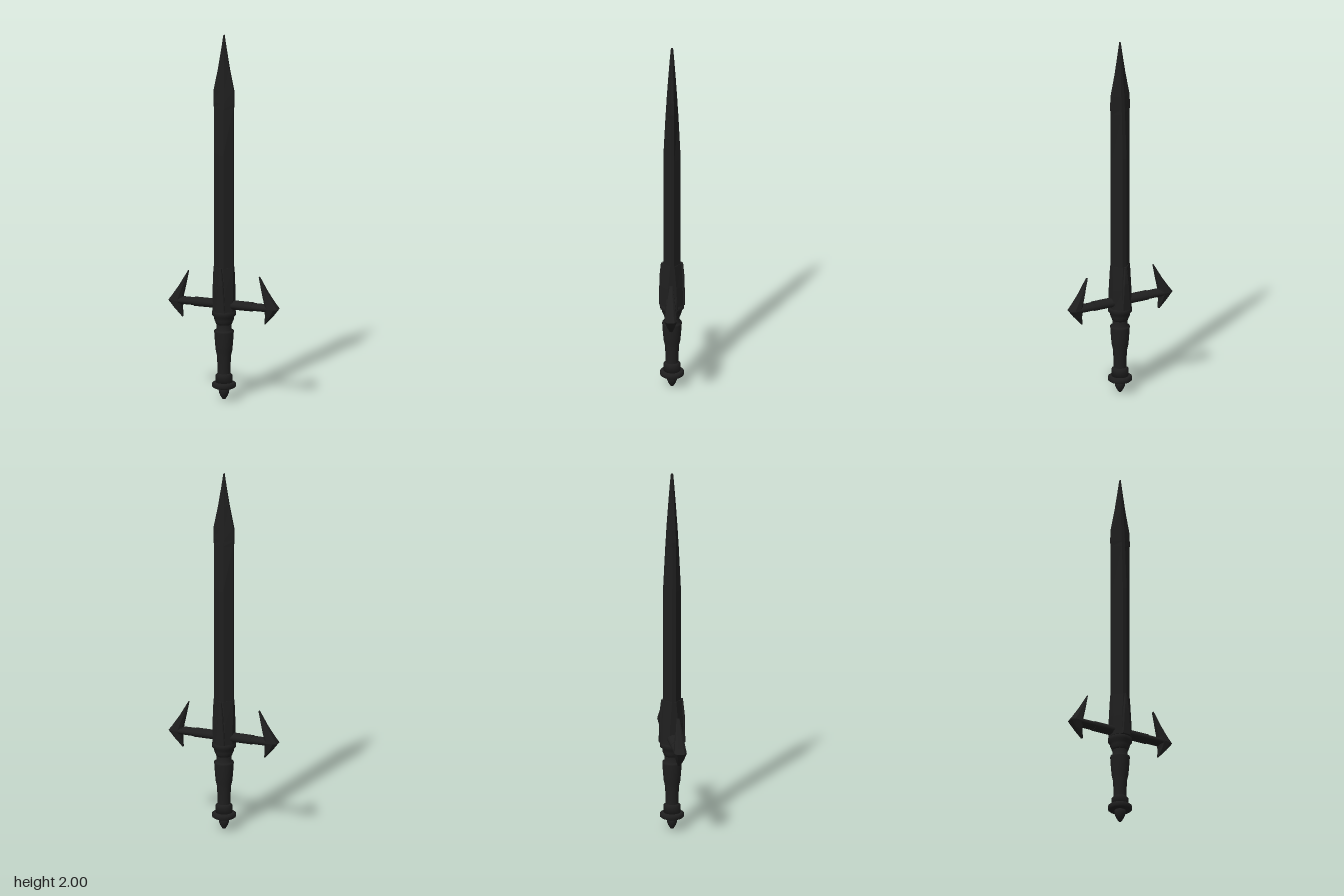
import * as THREE from 'three';

const darkIron = new THREE.MeshStandardMaterial({ color: 0x1f1f1f });
darkIron.name = 'darkIron';

// Eight-sided loft along y. Each section: [y, centreX, halfWidth, halfDepth, flatX, flatZ]
function loft(sections) {
  const rings = sections.map(([y, cx, w, d, fx, fz]) => [
    [w, fz], [w, -fz], [fx, -d], [-fx, -d], [-w, -fz], [-w, fz], [-fx, d], [fx, d],
  ].map(([x, z]) => [cx + x, y, z]));
  const out = [];
  const tri = (a, b, c) => out.push(...a, ...b, ...c);
  for (let s = 0; s < rings.length - 1; s++) {
    const lo = rings[s], hi = rings[s + 1];
    for (let i = 0; i < 8; i++) {
      const j = (i + 1) % 8;
      tri(lo[i], lo[j], hi[j]);
      tri(lo[i], hi[j], hi[i]);
    }
  }
  const first = rings[0], last = rings[rings.length - 1];
  for (let i = 1; i < 7; i++) {
    tri(first[0], first[i + 1], first[i]);
    tri(last[0], last[i], last[i + 1]);
  }
  const geo = new THREE.BufferGeometry();
  geo.setAttribute('position', new THREE.Float32BufferAttribute(out, 3));
  geo.computeVertexNormals();
  return geo;
}

// Turned part with crisp rims; points are [radius, y] from bottom to top
function turned(points, sides = 20) {
  return new THREE.LatheGeometry(points.map(([r, y]) => new THREE.Vector2(r, y)), sides);
}

function add(parent, name, geo) {
  const mesh = new THREE.Mesh(geo, darkIron);
  mesh.name = name;
  parent.add(mesh);
  return mesh;
}

export function createModel() {
  const sword = new THREE.Group();
  sword.name = 'sword';

  // Blade: blunted diamond section, flared shoulder, long point
  add(sword, 'blade', loft([
    [0.48, 0, 0.053, 0.046, 0.012, 0.010],
    [1.35, 0, 0.053, 0.046, 0.012, 0.010],
    [1.60, 0, 0.054, 0.034, 0.010, 0.009],
    [1.63, 0, 0.057, 0.032, 0.010, 0.009],
    [1.70, 0, 0.055, 0.028, 0.010, 0.008],
    [1.82, 0, 0.031, 0.020, 0.007, 0.006],
    [1.93, 0, 0.013, 0.012, 0.004, 0.005],
    [2.00, 0, 0.003, 0.006, 0.001, 0.003],
  ]));

  // Socket that clasps the blade root, with raised ribs front and back
  add(sword, 'bladeSocket', loft([
    [0.49, 0, 0.057, 0.058, 0.025, 0.026],
    [0.60, 0, 0.057, 0.056, 0.022, 0.022],
    [0.73, 0, 0.055, 0.050, 0.012, 0.012],
  ]));
  for (const side of [1, -1]) {
    const rib = add(sword, 'socketRib', loft([
      [0.49, 0, 0.026, 0.015, 0.022, 0.010],
      [0.64, 0, 0.016, 0.014, 0.012, 0.008],
      [0.73, 0, 0.004, 0.006, 0.002, 0.003],
    ]));
    rib.position.z = side * 0.053;
  }

  // Crossguard, turned slightly about the blade axis
  const guard = new THREE.Group();
  guard.name = 'crossguard';
  guard.rotation.y = -0.05;
  sword.add(guard);
  const bar = add(guard, 'guardBar', new THREE.CylinderGeometry(0.033, 0.033, 0.56, 14));
  bar.rotation.z = Math.PI / 2;
  bar.scale.x = 0.62;
  bar.position.y = 0.523;
  const sleeve = add(guard, 'guardSleeve', new THREE.CylinderGeometry(0.034, 0.034, 0.33, 14));
  sleeve.rotation.z = Math.PI / 2;
  sleeve.scale.x = 0.72;
  sleeve.position.y = 0.523;

  // Barbed hooks on both ends of the guard
  for (const s of [1, -1]) {
    add(guard, 'barb', loft([
      [0.435, s * 0.235, 0.003, 0.007, 0.002, 0.004],
      [0.48, s * 0.258, 0.020, 0.022, 0.010, 0.012],
      [0.523, s * 0.274, 0.036, 0.033, 0.018, 0.020],
      [0.55, s * 0.262, 0.028, 0.029, 0.014, 0.016],
      [0.61, s * 0.234, 0.016, 0.020, 0.008, 0.010],
      [0.69, s * 0.202, 0.002, 0.008, 0.001, 0.004],
    ]));
  }

  // Stepped collar below the guard
  add(sword, 'collar', turned([
    [0, 0.415], [0.042, 0.415], [0.046, 0.425], [0.052, 0.44], [0.052, 0.455],
    [0.064, 0.465], [0.064, 0.485], [0.056, 0.49], [0.056, 0.51], [0, 0.51],
  ]));

  // Grip with a swelling near the top
  add(sword, 'grip', turned([
    [0.034, 0.12], [0.034, 0.15], [0.037, 0.24], [0.044, 0.27], [0.048, 0.31],
    [0.052, 0.37], [0.052, 0.38], [0.041, 0.385], [0.041, 0.42],
  ]));

  // Pommel: ferrule, disc and pointed end cap
  add(sword, 'ferrule', turned([
    [0, 0.09], [0.045, 0.09], [0.045, 0.135], [0.034, 0.145], [0, 0.145],
  ]));
  add(sword, 'pommelDisc', turned([
    [0, 0.066], [0.056, 0.066], [0.064, 0.072], [0.064, 0.09], [0.056, 0.096], [0, 0.096],
  ]));
  add(sword, 'pommelPoint', turned([
    [0, 0], [0.008, 0.003], [0.02, 0.022], [0.027, 0.04], [0.03, 0.07], [0, 0.07],
  ]));

  return sword;
}
